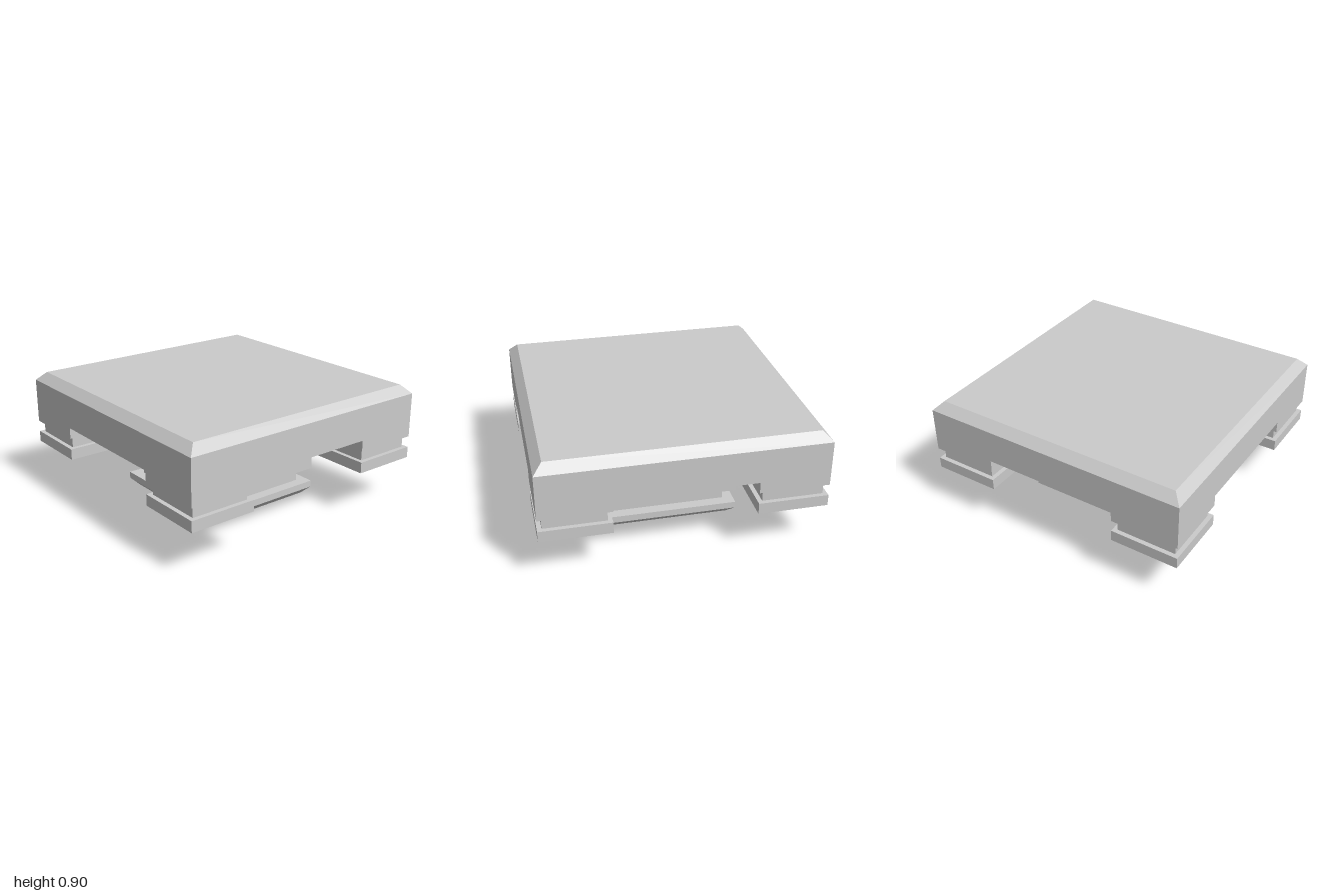
import * as THREE from 'three';

const material = new THREE.MeshStandardMaterial({ color: 0xcccccc, flatShading: true });

// Square stepped solid: profile is [half width, height] pairs from bottom to top
function steppedSquare(name, profile, x = 0, z = 0) {
  const points = profile.map(([half, y]) => new THREE.Vector2(half * Math.SQRT2, y));
  const geometry = new THREE.LatheGeometry(points, 4, Math.PI / 4).toNonIndexed();
  geometry.computeVertexNormals();
  const mesh = new THREE.Mesh(geometry, material);
  mesh.name = name;
  mesh.position.set(x, 0, z);
  return mesh;
}

export function createModel() {
  const model = new THREE.Group();
  model.name = 'steppedPlatform';

  // Wide top slab with a bevelled upper rim
  model.add(steppedSquare('topSlab', [
    [0, 0.585], [1, 0.585], [1, 0.835], [0.935, 0.9], [0, 0.9],
  ]));

  // Central pedestal: bevelled foot, recessed neck and block, open where it meets the slab
  model.add(steppedSquare('centralPedestal', [
    [0, 0], [0.445, 0], [0.5, 0.055], [0.5, 0.105],
    [0.42, 0.105], [0.42, 0.21], [0.5, 0.21], [0.5, 0.585],
  ]));

  // Four corner feet: pad, recessed neck and block under the slab
  for (const x of [-0.75, 0.75]) {
    for (const z of [-0.75, 0.75]) {
      const name = (z > 0 ? 'front' : 'back') + (x > 0 ? 'Left' : 'Right') + 'Foot';
      model.add(steppedSquare(name, [
        [0, 0.335], [0.25, 0.335], [0.25, 0.417],
        [0.218, 0.417], [0.218, 0.502], [0.25, 0.502], [0.25, 0.585],
      ], x, z));
    }
  }
  return model;
}
